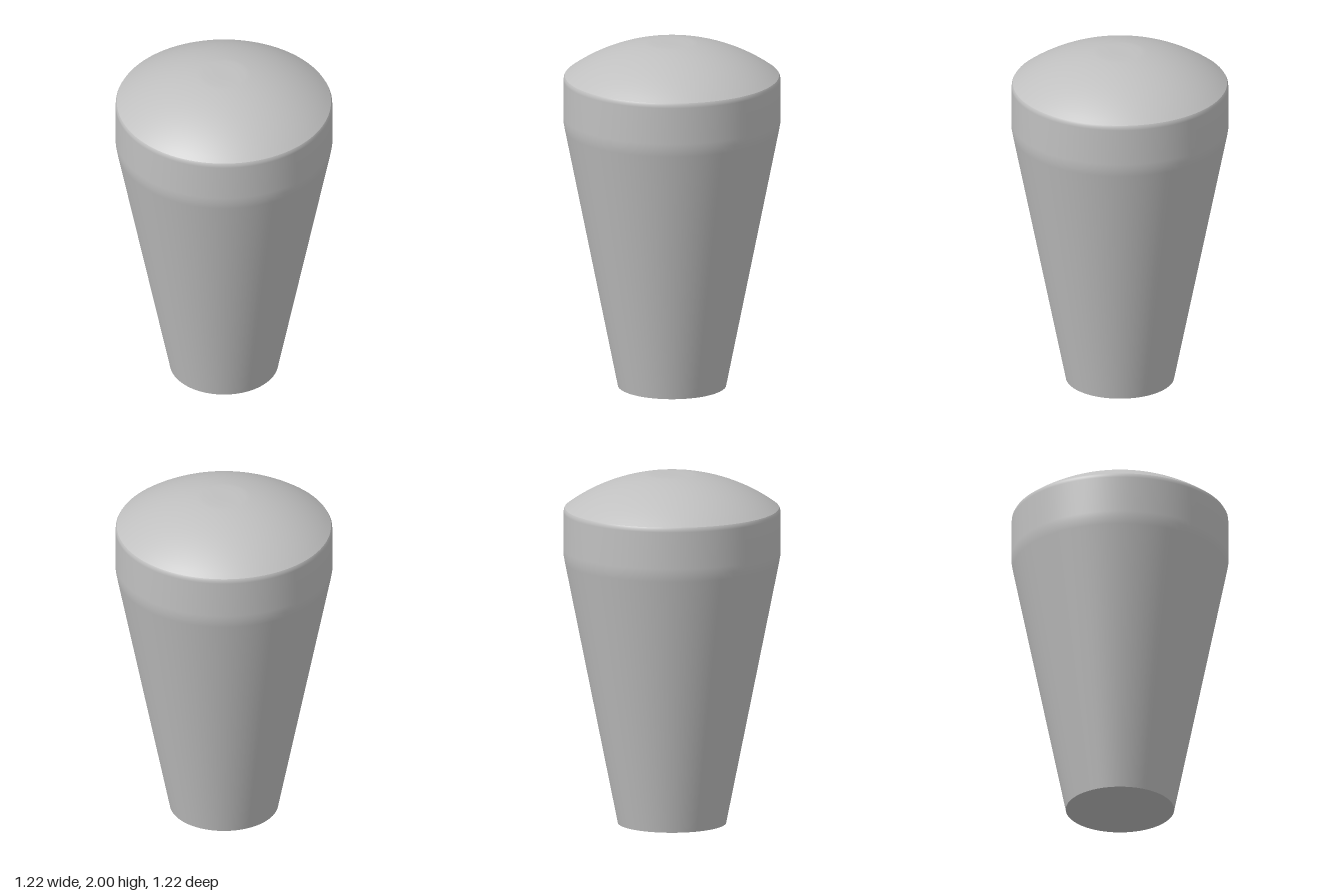
import * as THREE from 'three';

export function createModel() {
  const group = new THREE.Group();
  const grey = new THREE.MeshStandardMaterial({ color: 0xc0c0c0 });
  grey.name = 'plain grey';
  const SEGMENTS = 96;

  const addLathe = (name, profile) => {
    const points = profile.map(([r, y]) => new THREE.Vector2(r, y));
    const mesh = new THREE.Mesh(new THREE.LatheGeometry(points, SEGMENTS), grey);
    mesh.name = name;
    group.add(mesh);
  };

  // Tapered body with a short straight collar and a softened rim
  addLathe('taperedBody', [
    [0.305, 0], [0.603, 1.495], [0.61, 1.535], [0.61, 1.57],
    [0.61, 1.78], [0.609, 1.795], [0.603, 1.806],
  ]);

  // Shallow spherical cap, flat at the very top
  const dome = [];
  const centre = 0.995, radius = 1.011;
  for (let i = 0; i <= 16; i++) {
    const r = 0.603 + (0.12 - 0.603) * (i / 16);
    dome.push([r, Math.min(2, centre + Math.sqrt(radius * radius - r * r))]);
  }
  dome[0][1] = 1.806;
  dome.push([0.06, 2], [0, 2]);
  addLathe('domedTop', dome);

  // Flat underside
  const base = new THREE.Mesh(new THREE.CircleGeometry(0.305, SEGMENTS), grey);
  base.name = 'flatBase';
  base.rotation.x = Math.PI / 2;
  group.add(base);

  return group;
}
